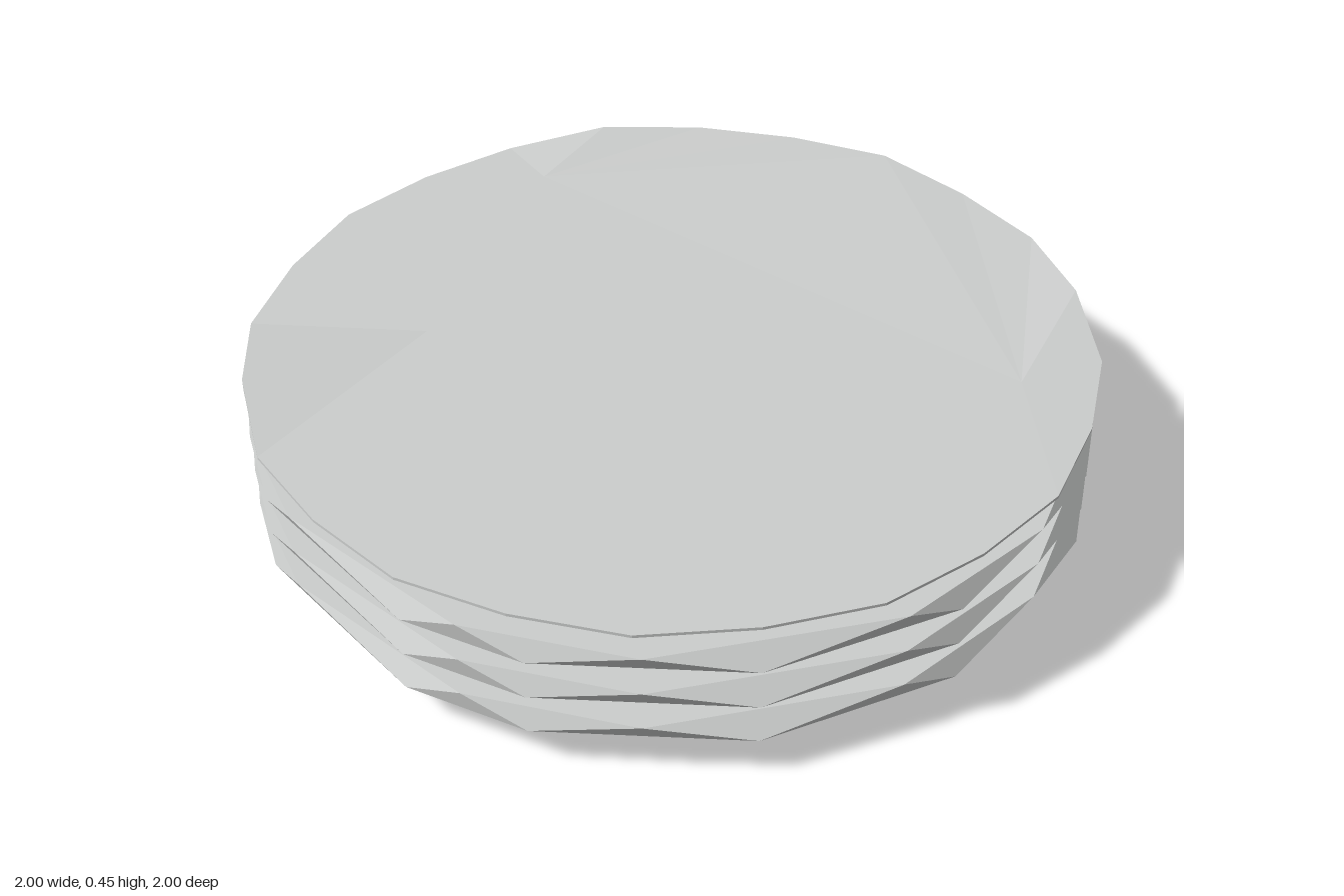
import * as THREE from 'three';
import { ConvexGeometry } from 'three/addons/geometries/ConvexGeometry.js';

const paleGrey = new THREE.MeshStandardMaterial({ color: 0xcccecd });
paleGrey.name = 'pale grey';

const polar = (deg, y, r = 1) => {
  const a = THREE.MathUtils.degToRad(deg);
  return new THREE.Vector3(Math.cos(a) * r, y, Math.sin(a) * r);
};

// Faceted disc: zigzag rim between two uneven rings, with a shallow pointed belly
function discGeometry() {
  const lowerRim = [18, 45, 73, 90, 120, 140, 164, 193, 223, 256, 299, 319, 346];
  const upperRim = [2, 26, 59, 82, 112, 130, 152, 178, 208, 240, 277, 309, 334];
  return new ConvexGeometry([
    ...lowerRim.map((d) => polar(d, 0.11, 0.995)),
    ...upperRim.map((d) => polar(d, 0.157, 0.99)),
    new THREE.Vector3(0.32, 0, -0.2),
    new THREE.Vector3(-0.4, 0.02, 0.3),
  ]);
}

// Top disc: thin uneven rim, slightly dished face and conical underside
function topDiscGeometry() {
  const count = 24;
  const raised = { 135: 0.45, 225: 0.45, 240: 0.435, 255: 0.44, 270: 0.447, 285: 0.44, 300: 0.44, 315: 0.45 };
  const rim = Array.from({ length: count }, (_, i) => {
    const deg = (i * 360) / count;
    return polar(deg, raised[deg] ?? 0.425, i % 2 ? 0.99 : 1);
  });
  const dish = [[0.62, 0.5], [-0.5, 0.29], [-0.7, -0.43], [0.75, -0.32]]
    .map(([x, z]) => new THREE.Vector3(x, 0.427, z));
  const belly = new THREE.Vector3(0, 0.24, 0);
  const nearest = (p) => dish.reduce((best, q, k) =>
    (q.distanceTo(p) < dish[best].distanceTo(p) ? k : best), 0);

  const corners = [];
  for (let i = 0; i < count; i++) {
    const a = rim[i], b = rim[(i + 1) % count], c = rim[(i + 2) % count];
    const near = nearest(a.clone().lerp(b, 0.5));
    const next = nearest(b.clone().lerp(c, 0.5));
    corners.push(b, a, dish[near]);
    if (next !== near) corners.push(b, dish[near], dish[next]);
    // underside starts at an even height just below the rim
    const la = a.clone().setY(0.418), lb = b.clone().setY(0.418);
    corners.push(la, lb, belly, a, b, lb, a, lb, la);
  }
  corners.push(dish[0], dish[3], dish[2], dish[0], dish[2], dish[1]);
  const geometry = new THREE.BufferGeometry().setFromPoints(corners);
  geometry.computeVertexNormals();
  return geometry;
}

export function createModel() {
  const group = new THREE.Group();
  group.name = 'stackOfDiscs';

  // Three matching discs
  const disc = discGeometry();
  ['bottomDisc', 'lowerMiddleDisc', 'upperMiddleDisc'].forEach((name, i) => {
    const mesh = new THREE.Mesh(disc, paleGrey);
    mesh.name = name;
    mesh.position.y = i * 0.097;
    group.add(mesh);
  });

  // Dished disc on top
  const top = new THREE.Mesh(topDiscGeometry(), paleGrey);
  top.name = 'topDisc';
  group.add(top);
  return group;
}
